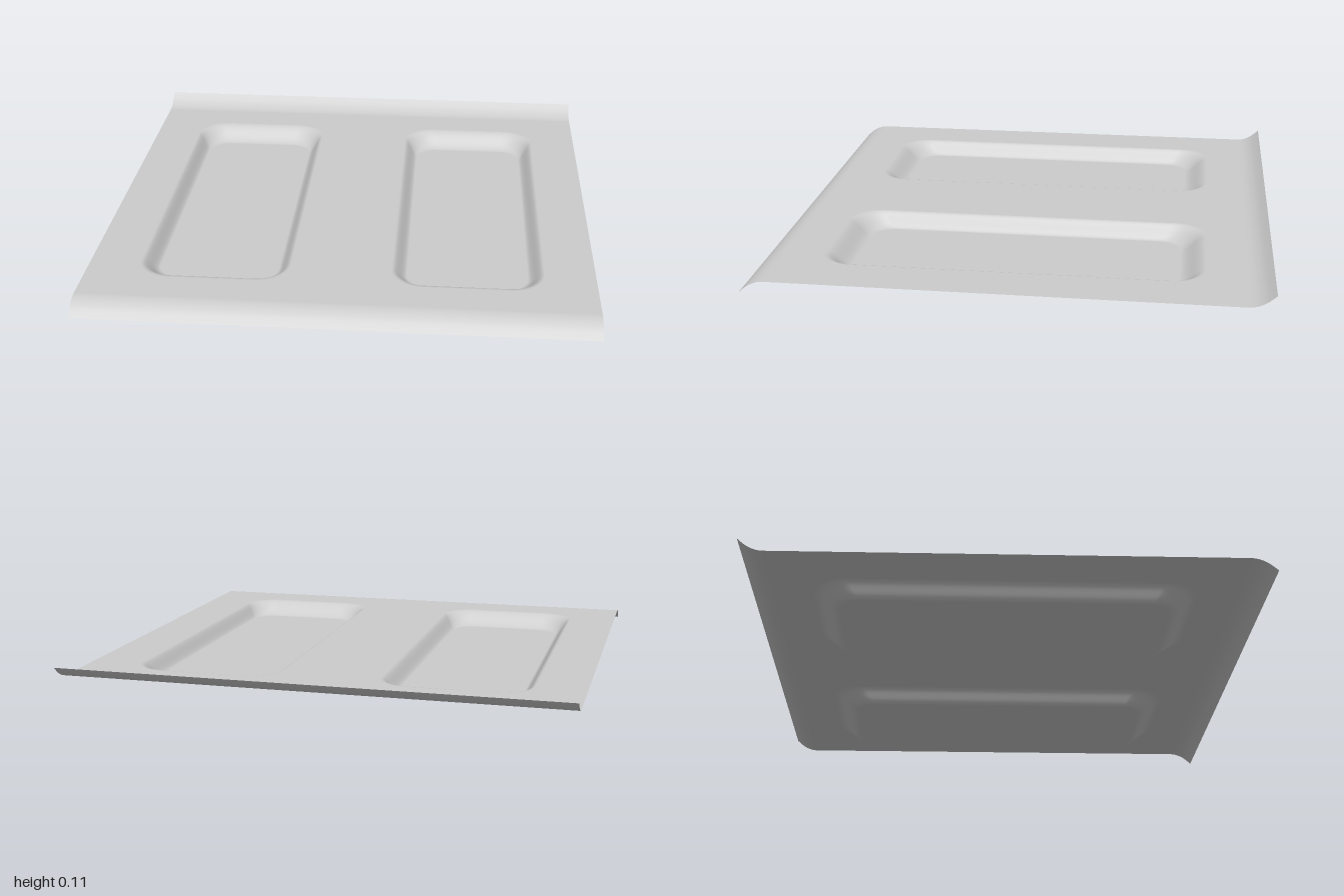
import * as THREE from 'three';

const DECK = 0.062;

// Rounded rectangle centred on (cx, 0), counter-clockwise, as Vector2 points
function roundedRect(cx, hx, hy, r, steps = 10) {
  const pts = [];
  const corners = [[1, 1], [-1, 1], [-1, -1], [1, -1]];
  corners.forEach(([sx, sy], q) => {
    for (let i = 0; i <= steps; i++) {
      const a = (q + i / steps) * Math.PI / 2;
      pts.push(new THREE.Vector2(
        cx + sx * (hx - r) + r * Math.cos(a),
        sy * (hy - r) + r * Math.sin(a)));
    }
  });
  return pts;
}

// Skin a surface through rows of points [x, y, z]
function loft(rows, closed) {
  const n = rows[0].length, index = [];
  for (let i = 0; i < rows.length - 1; i++) {
    for (let j = 0; j < (closed ? n : n - 1); j++) {
      const k = (j + 1) % n;
      const a = i * n + j, b = i * n + k, c = a + n, d = b + n;
      index.push(a, b, d, a, d, c);
    }
  }
  const g = new THREE.BufferGeometry();
  g.setAttribute('position', new THREE.Float32BufferAttribute(rows.flat(2), 3));
  g.setIndex(index);
  g.computeVertexNormals();
  return g;
}

export function createModel() {
  const group = new THREE.Group();
  group.name = 'pressedPanel';
  const metal = new THREE.MeshStandardMaterial({ color: 0xcccccc, side: THREE.DoubleSide });
  metal.name = 'light grey metal';
  const add = (geometry, name) => {
    const mesh = new THREE.Mesh(geometry, metal);
    mesh.name = name;
    group.add(mesh);
  };

  // Flat sheet with two openings for the recesses
  const sheet = new THREE.Shape([[-1, -0.89], [1, -0.89], [1, 0.89], [-1, 0.89]]
    .map(([x, y]) => new THREE.Vector2(x, y)));
  const rim = cx => roundedRect(cx, 0.3, 0.75, 0.13);
  for (const cx of [-0.5, 0.5]) sheet.holes.push(new THREE.Path(rim(cx)));
  add(new THREE.ShapeGeometry(sheet).rotateX(-Math.PI / 2).translate(0, DECK, 0), 'sheet');

  // Recessed pans: S-curved walls running down to a flat floor
  for (const [cx, name] of [[-0.5, 'rightRecess'], [0.5, 'leftRecess']]) {
    const outer = rim(cx), inner = roundedRect(cx, 0.24, 0.645, 0.09);
    const rows = [];
    const steps = 14;
    for (let i = 0; i <= steps; i++) {
      const t = i / steps;
      const y = DECK * (1 - t * t * (3 - 2 * t));
      rows.push(outer.map((p, j) => {
        const q = p.clone().lerp(inner[j], t);
        return [q.x, y, -q.y];
      }));
    }
    rows.push(outer.map(() => [cx, 0, 0]));
    add(loft(rows, true), name);
  }

  // End lips: the front edge curls down, the back edge curls up
  const profile = new THREE.SplineCurve([[0.89, 0], [0.91, 0.0005], [0.935, 0.006],
    [0.96, 0.018], [0.98, 0.033], [1, 0.051]].map(([z, d]) => new THREE.Vector2(z, d)));
  for (const [s, name] of [[1, 'frontLip'], [-1, 'backLip']]) {
    const rows = profile.getPoints(15).map(p =>
      [-1, 1].map(x => [x, DECK - s * p.y, s * p.x]));
    if (s > 0) rows.reverse();
    add(loft(rows, false), name);
  }
  return group;
}
